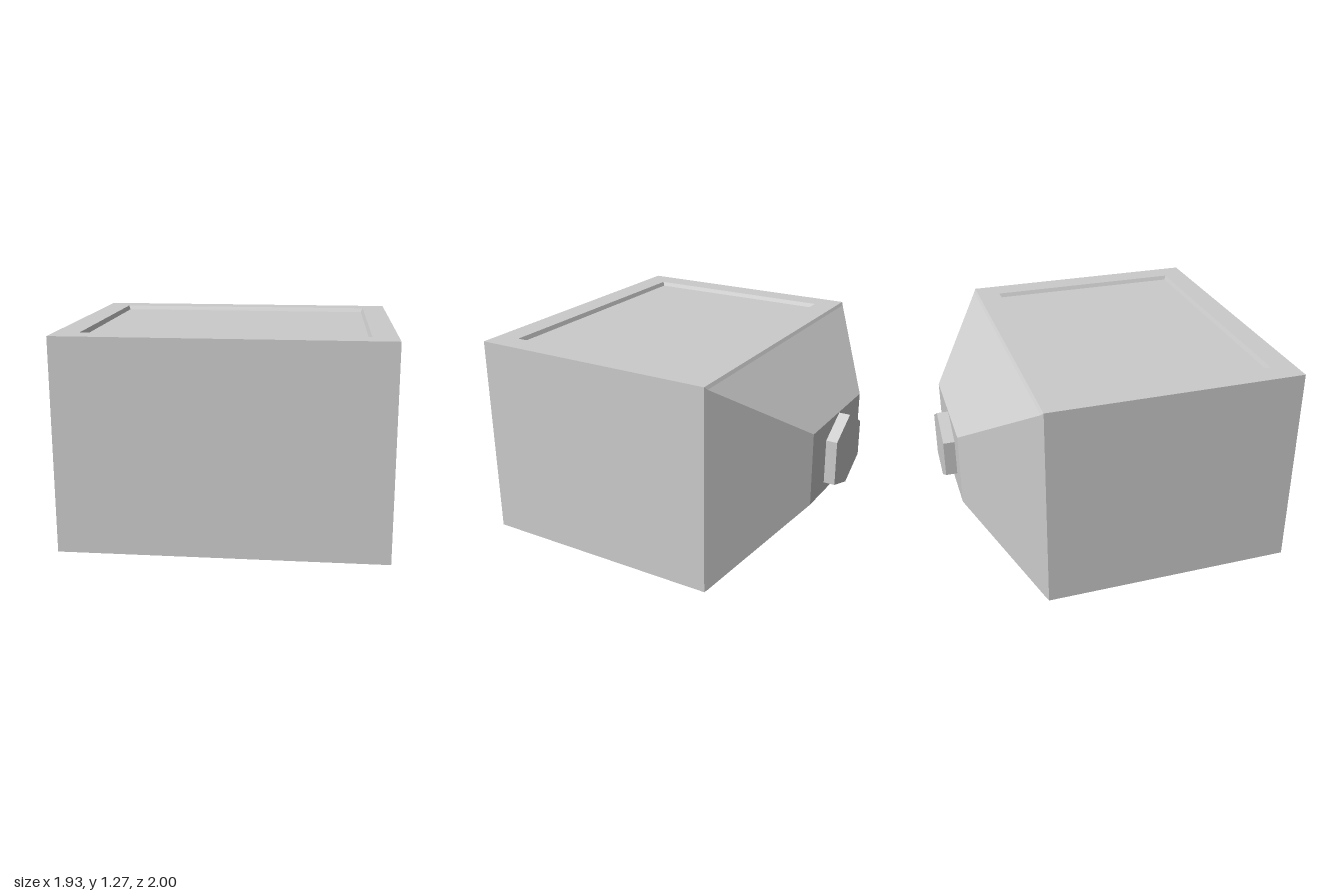
import * as THREE from 'three';

const material = new THREE.MeshStandardMaterial({ color: 0xcccccc, flatShading: true });

// Skins a row of matching cross-sections with flat quads, counterclockwise
// as seen from the far end; the ends can be capped with a fan.
function loft(name, loops, { closed = true, startCap = false, endCap = false } = {}) {
  const positions = [];
  const tri = (...points) => points.forEach((p) => positions.push(...p));
  const fan = (loop) => {
    for (let i = 1; i < loop.length - 1; i++) tri(loop[0], loop[i], loop[i + 1]);
  };
  for (let s = 0; s < loops.length - 1; s++) {
    const a = loops[s], b = loops[s + 1], n = a.length;
    for (let i = 0; i < (closed ? n : n - 1); i++) {
      const j = (i + 1) % n;
      tri(a[i], a[j], b[j]);
      tri(a[i], b[j], b[i]);
    }
  }
  if (startCap) fan([...loops[0]].reverse());
  if (endCap) fan(loops[loops.length - 1]);
  const geometry = new THREE.BufferGeometry();
  geometry.setAttribute('position', new THREE.Float32BufferAttribute(positions, 3));
  geometry.computeVertexNormals();
  const mesh = new THREE.Mesh(geometry, material);
  mesh.name = name;
  return mesh;
}

// Upright rectangle at depth z
const upright = (hx, y0, y1, z) => [[-hx, y1, z], [-hx, y0, z], [hx, y0, z], [hx, y1, z]];
// Level rectangle at height y
const level = (hx, z0, z1, y) => [[hx, y, z1], [hx, y, z0], [-hx, y, z0], [-hx, y, z1]];

export function createModel() {
  const model = new THREE.Group();
  model.name = 'monitor';
  const W = 0.965, H = 1.275, BACK = -0.545, PLATE = -0.93;

  // Front, sides and underside; the top is left open for the lid
  model.add(loft('case', [upright(W, 0, H, BACK), upright(W, 0, H, 1)], { closed: false, endCap: true }));

  // Rim around a shallow sunken panel
  model.add(loft('topPanel', [
    level(W, BACK, 1, H),
    level(0.82, -0.4, 0.855, H),
    level(0.808, -0.388, 0.843, H - 0.025),
  ], { endCap: true }));

  // Rear housing narrowing to a flat plate
  model.add(loft('rearHousing', [
    upright(0.37, 0.4, 0.86, PLATE),
    upright(0.947, 0.01, 1.257, -0.557),
    upright(W, 0, H, BACK),
  ], { startCap: true }));

  // Slightly uneven six-sided neck on the plate
  const hexagon = [[-0.02, 0.855], [-0.215, 0.742], [-0.215, 0.514], [-0.02, 0.4], [0.17, 0.46], [0.17, 0.742]];
  const section = (z) => hexagon.map(([x, y]) => [x, y, z]);
  model.add(loft('neck', [section(-1), section(PLATE)], { startCap: true }));

  return model;
}
